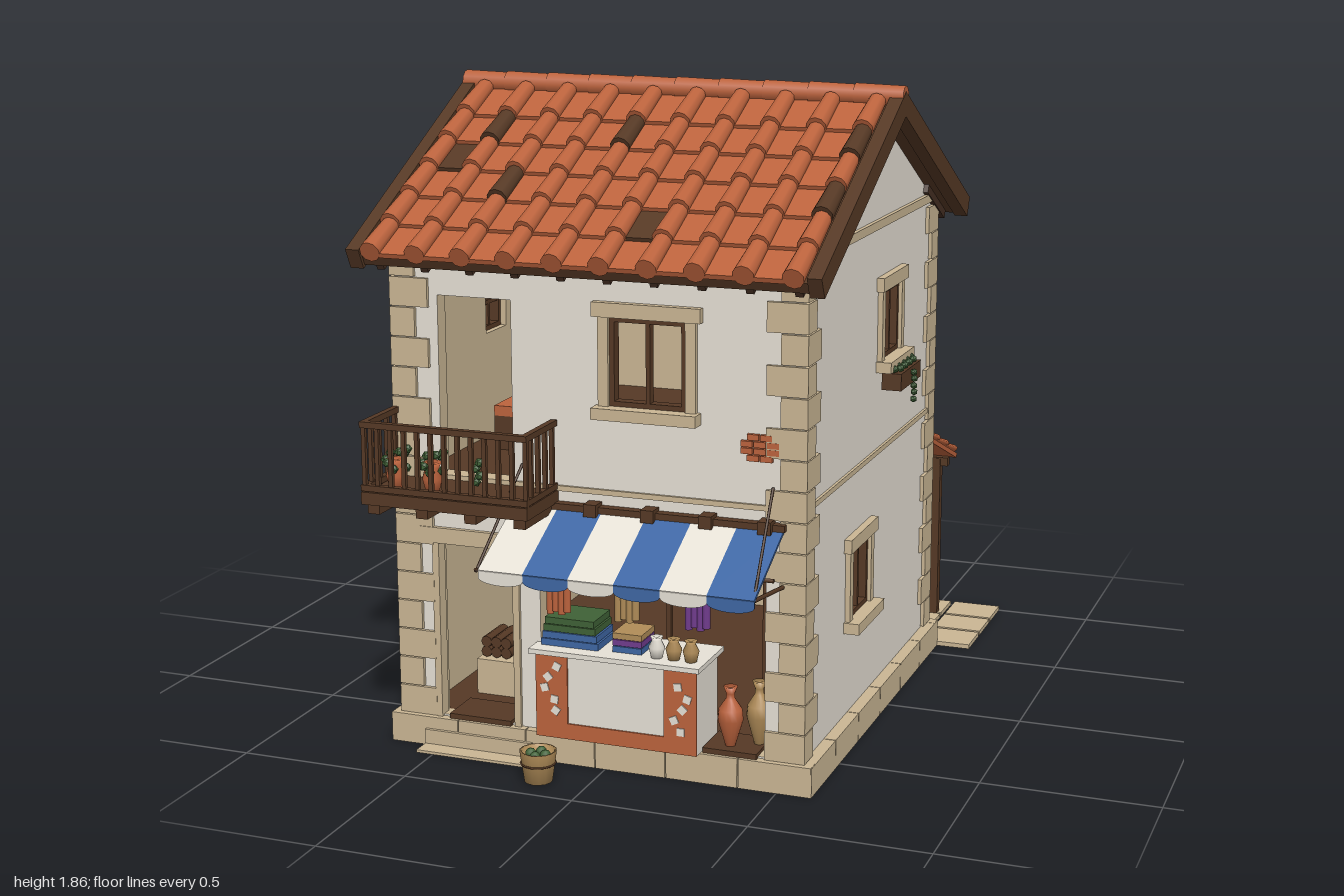
import * as THREE from 'three';

const flat = (name, color) => new THREE.MeshStandardMaterial({ name, color });
const M = {
  plaster: flat('plaster', 0xe6e0d5), stone: flat('stone', 0xcab694), tile: flat('terracotta', 0xbc633d),
  wood: flat('wood', 0x563925), dark: flat('dark wood', 0x452f22), blue: flat('blue cloth', 0x3f67a4),
  cream: flat('cream', 0xe6e1d6), green: flat('green', 0x3f6136), purple: flat('purple cloth', 0x713c8e),
  straw: flat('straw', 0xb08c58),
};
const CX = -0.03, CZ = 0.09, HW = 0.595, HD = 0.65; // house centre and half sizes
const PITCH = 0.476;

function add(parent, name, geo, mat, x = 0, y = 0, z = 0) {
  const m = new THREE.Mesh(geo, mat);
  m.name = name;
  m.position.set(x, y, z);
  parent.add(m);
  return m;
}
function group(parent, name, x = 0, y = 0, z = 0, rx = 0, ry = 0) {
  const g = new THREE.Group();
  g.name = name;
  g.position.set(x, y, z);
  g.rotation.set(rx, ry, 0);
  parent.add(g);
  return g;
}
// Box given by its limits on each axis
const span = (p, name, mat, x0, x1, y0, y1, z0, z1) =>
  add(p, name, new THREE.BoxGeometry(x1 - x0, y1 - y0, z1 - z0), mat, (x0 + x1) / 2, (y0 + y1) / 2, (z0 + z1) / 2);
// Round bar between two points
function rod(p, name, mat, a, b, r) {
  const A = new THREE.Vector3(...a), B = new THREE.Vector3(...b), d = B.clone().sub(A);
  const m = add(p, name, new THREE.CylinderGeometry(r, r, d.length(), 8), mat);
  m.position.copy(A).add(B).multiplyScalar(0.5);
  m.quaternion.setFromUnitVectors(new THREE.Vector3(0, 1, 0), d.normalize());
}
const lathe = (p, name, mat, pts, x, y, z) =>
  add(p, name, new THREE.LatheGeometry(pts.map(q => new THREE.Vector2(...q)), 14), mat, x, y, z);
const leaf = (p, x, y, z, r = 0.014) => add(p, 'leaves', new THREE.IcosahedronGeometry(r, 0), M.green, x, y, z);

// Wall panel facing local +z; openings are [u0, u1, y0, y1]
function wall(root, name, half, apex, holes, x, z, ry) {
  const g = group(root, name, x, 0, z, 0, ry);
  const s = new THREE.Shape([[-half, 0], [half, 0], [half, 1.44], ...(apex ? [[0, apex]] : []), [-half, 1.44]]
    .map(q => new THREE.Vector2(...q)));
  for (const [a, b, c, d] of holes)
    s.holes.push(new THREE.Path([[a, c], [a, d], [b, d], [b, c]].map(q => new THREE.Vector2(...q))));
  const ext = depth => new THREE.ExtrudeGeometry(s, { depth, bevelEnabled: false });
  add(g, 'plasterWall', ext(0.04), [M.plaster, M.stone], 0, 0, -0.04);
  add(g, 'innerWall', ext(0.008), M.stone, 0, 0, -0.048);
  span(g, 'floorBand', M.stone, -half, half, 0.785, 0.8, -0.01, 0.008);
  if (apex) span(g, 'eaveBand', M.stone, -half - 0.01, half + 0.01, 1.45, 1.475, -0.01, 0.012);
  return g;
}
function windowUnit(p, [a, b, c, d], grand) {
  const w = group(p, 'window'), t = 0.014;
  for (const u of [a, b - t]) span(w, 'frameSide', M.wood, u, u + t, c, d, -0.03, 0.004);
  for (const y of [c, d - t]) span(w, 'frameRail', M.wood, a, b, y, y + t, -0.03, 0.004);
  span(w, 'mullion', M.wood, (a + b) / 2 - 0.006, (a + b) / 2 + 0.006, c, d, -0.025, 0.002);
  if (grand) {
    for (const u of [a - 0.03, b]) span(w, 'jamb', M.stone, u, u + 0.03, c, d, -0.01, 0.015);
    span(w, 'lintel', M.stone, a - 0.045, b + 0.045, d, d + 0.04, -0.01, 0.022);
    span(w, 'sill', M.stone, a - 0.04, b + 0.04, c - 0.032, c, -0.01, 0.045);
  } else {
    span(w, 'crossbar', M.wood, a, b, (c + d) / 2 - 0.006, (c + d) / 2 + 0.006, -0.025, 0.002);
    span(w, 'lintel', M.wood, a - 0.035, b + 0.035, d, d + 0.032, -0.01, 0.018);
    span(w, 'sill', M.stone, a - 0.035, b + 0.035, c - 0.03, c, -0.01, 0.05);
  }
}
// Rows of pan and cap tiles running down local +z
function tiles(p, cols, rows, pitch, start, len, r, rise, odd = {}) {
  const cap = new THREE.CylinderGeometry(r, r * 0.82, len + 0.02, 10).rotateX(Math.PI / 2).scale(1, rise, 1);
  const pan = new THREE.BoxGeometry(pitch, 0.014, len + 0.02);
  for (let i = 0; i < rows; i++) for (let c = 0; c < cols; c++) {
    const x = (c - (cols - 1) / 2) * pitch, z = start + (i + 0.5) * len - 0.008;
    add(p, 'capTile', cap, odd['c' + c + i] || M.tile, x, 0.016 * rise + 0.004, z).rotation.x = -0.06;
    if (c < cols - 1) add(p, 'panTile', pan, odd['p' + c + i] || M.tile, x + pitch / 2, 0.008, z).rotation.x = -0.08;
  }
}
function basket(p, x, z, r, h, fill) {
  const g = group(p, 'basket', x, 0.005, z);
  lathe(g, 'basketBody', M.straw, [[0, 0], [r * 0.75, 0], [r, h], [r * 0.88, h], [r * 0.8, h * 0.75], [0, h * 0.75]], 0, 0, 0);
  add(g, 'basketBand', new THREE.TorusGeometry(r * 0.92, 0.003, 5, 16).rotateX(Math.PI / 2), M.wood, 0, h * 0.6, 0);
  for (let i = 0; i < 4; i++)
    add(g, 'produce', new THREE.IcosahedronGeometry(r * 0.3, 1), fill, Math.cos(i * 1.57) * r * 0.42, h * 0.86, Math.sin(i * 1.57) * r * 0.42);
}

function buildShell(root) {
  // Plinth stones around a core
  span(root, 'plinthCore', M.stone, CX - 0.62, CX + 0.62, 0.005, 0.08, CZ - 0.665, CZ + 0.665);
  span(root, 'underside', M.wood, CX - 0.6, CX + 0.6, 0, 0.005, CZ - 0.65, CZ + 0.65);
  for (let i = 0; i < 6; i++) for (const s of [-1, 1]) {
    const x = CX - 0.63 + i * 0.21, z = CZ - 0.675 + i * 0.225;
    span(root, 'plinthStone', M.stone, x + 0.001, x + 0.208, 0, 0.085, CZ + s * 0.655 - 0.02, CZ + s * 0.655 + 0.02);
    span(root, 'plinthStone', M.stone, CX + s * 0.61 - 0.02, CX + s * 0.61 + 0.02, 0, 0.084, z + 0.001, z + 0.223);
  }
  span(root, 'doorStep', M.stone, -0.55, -0.22, 0, 0.05, 0.7, 0.775);
  span(root, 'doorSlab', M.stone, -0.55, -0.22, 0, 0.008, 0.77, 0.83);
  // Corner quoins, long and short by turns
  for (const sx of [-1, 1]) for (const sz of [-1, 1]) for (let i = 0; i < 16; i++) {
    const w = i % 2 ? 0.075 : 0.115, d = i % 2 ? 0.115 : 0.075, y = 0.085 + i * 0.0845;
    add(root, 'quoin', new THREE.BoxGeometry(w, 0.081, d), M.stone,
      CX + sx * (HW + 0.011 - w / 2), y + 0.042, CZ + sz * (HD + 0.011 - d / 2));
  }
  for (const y of [0.075, 0.775, 1.41])
    span(root, 'floorBoards', M.wood, CX - 0.55, CX + 0.55, y, y + 0.015, CZ - 0.605, CZ + 0.605);

  const F = [[-0.48, -0.25, 0.09, 0.6], [-0.17, 0.49, 0.09, 0.6], [-0.465, -0.245, 0.8, 1.305], [0.045, 0.265, 1.035, 1.28]];
  const R = [[0.06, 0.235, 1.06, 1.265], [-0.23, -0.05, 0.365, 0.57]];
  const L = [[0.03, 0.17, 1.1, 1.265], [-0.09, 0.05, 0.39, 0.54]];
  const B = [[0.08, 0.22, 1.1, 1.265], [-0.215, -0.075, 0.39, 0.54]];
  const front = wall(root, 'frontWall', HW, 0, F, CX, CZ + HD, 0);
  windowUnit(front, F[3], true);
  span(front, 'doorLintel', M.stone, -0.53, -0.23, 0.6, 0.645, -0.01, 0.014);
  for (const u of [-0.495, -0.25]) span(front, 'doorJamb', M.stone, u, u + 0.02, 0.085, 0.6, -0.03, 0.01);
  const right = wall(root, 'rightWall', HD, 1.775, R, CX + HW, CZ, Math.PI / 2);
  R.forEach(h => windowUnit(right, h, true));
  const left = wall(root, 'leftWall', HD, 1.775, L, CX - HW, CZ, -Math.PI / 2);
  L.forEach(h => windowUnit(left, h, false));
  const back = wall(root, 'backWall', HW, 0, B, CX, CZ - HD, Math.PI);
  B.forEach(h => windowUnit(back, h, false));

  // Flower box
  span(right, 'flowerBox', M.wood, 0.04, 0.255, 0.975, 1.025, 0.012, 0.07);
  for (let i = 0; i < 9; i++) leaf(right, 0.055 + i * 0.023, 1.035, 0.045 + 0.012 * (i % 2), 0.012);
  for (let i = 0; i < 5; i++) leaf(right, 0.15 + 0.006 * (i % 2), 1.01 - i * 0.02, 0.078, 0.011);
  // Bare brick where the plaster has gone
  for (const [w, u, y, n] of [[front, 0.475, 0.955, 4], [left, -0.25, 0.28, 5]])
    for (let r = 0; r < n; r++) for (let c = 0; c < (r % 3 ? n - 1 : 2); c++) {
      const x = u - 0.055 + c * 0.037 + (r % 3 ? 0 : 0.018);
      span(w, 'brick', M.tile, x, x + 0.033, y - 0.036 + r * 0.019, y - 0.02 + r * 0.019, -0.01, 0.012);
    }
}

function buildRoof(root) {
  const D = M.wood, S = M.straw;
  const oddTiles = [{ p02: D, c11: D, c41: D, c91: D, c23: D, p54: D, c93: D },
    { p74: D, p72: D, c63: D, p60: D, p12: D, c20: D, c01: D, c00: D, p33: S, p21: S }];
  for (const s of [0, 1]) {
    const g = group(root, s ? 'backRoof' : 'frontRoof', CX, 1.81, CZ, s ? -PITCH : PITCH, s * Math.PI);
    span(g, 'roofDeck', M.wood, -0.64, 0.64, -0.03, 0.002, 0, 0.85);
    for (const x of [-0.675, 0.635]) span(g, 'rakeBoard', M.wood, x, x + 0.04, -0.036, 0.026, -0.012, 0.86);
    for (let i = 0; i < 10; i++) span(g, 'rafterEnd', M.dark, -0.61 + i * 0.133, -0.588 + i * 0.133, -0.055, -0.03, 0.6, 0.835);
    tiles(g, 10, 6, 0.1332, 0.04, 0.137, 0.03, 1, oddTiles[s]);
  }
  for (let i = 0; i < 10; i++)
    add(root, 'ridgeTile', new THREE.CylinderGeometry(0.034, 0.03, 0.145, 12).rotateZ(Math.PI / 2), M.tile, CX - 0.6 + i * 0.1335, 1.825, CZ);
}

function buildBalcony(root) {
  const g = group(root, 'balcony');
  span(g, 'balconyFloor', M.wood, -0.635, -0.14, 0.752, 0.787, 0.74, 0.95);
  for (let i = 0; i < 4; i++) span(g, 'joist', M.wood, -0.62 + i * 0.145, -0.585 + i * 0.145, 0.725, 0.752, 0.74, 0.94);
  for (const y of [0.79, 0.967]) {
    span(g, 'frontRail', M.wood, -0.635, -0.14, y, y + 0.017, 0.93, 0.95);
    for (const x of [-0.635, -0.158]) span(g, 'sideRail', M.wood, x, x + 0.018, y, y + 0.017, 0.745, 0.94);
  }
  for (let i = 0; i < 13; i++) span(g, 'baluster', M.wood, -0.632 + i * 0.04, -0.62 + i * 0.04, 0.787, 0.97, 0.934, 0.946);
  for (const x of [-0.632, -0.155]) for (let i = 0; i < 4; i++)
    span(g, 'sideBaluster', M.wood, x, x + 0.012, 0.787, 0.97, 0.755 + i * 0.047, 0.767 + i * 0.047);
  for (const x of [-0.56, -0.45]) {
    lathe(g, 'plantPot', M.tile, [[0, 0], [0.018, 0], [0.028, 0.04], [0.02, 0.07], [0.026, 0.085], [0, 0.08]], x, 0.787, 0.885);
    for (let i = 0; i < 8; i++) leaf(g, x + 0.032 * Math.cos(i * 1.9), 0.85 + 0.016 * (i % 4), 0.885 + 0.032 * Math.sin(i * 1.9));
  }
  // Small vine on the rail
  for (let i = 0; i < 4; i++) leaf(g, -0.3 + 0.012 * (i % 2), 0.84 + i * 0.018, 0.925);
  // Bed inside the upper room
  span(root, 'bedBase', M.wood, -0.49, -0.28, 0.79, 0.89, 0.1, 0.4);
  span(root, 'blanket', M.tile, -0.49, -0.28, 0.89, 0.92, 0.1, 0.4);
}

function buildShop(root) {
  const g = group(root, 'awning');
  const slope = group(g, 'awningCloth', 0, 0.74, 0.75, 0.464);
  for (let i = 0; i < 6; i++) {
    const x = -0.265 + i * 0.13, m = i % 2 ? M.blue : M.cream;
    span(slope, 'stripe', m, x, x + 0.13, -0.004, 0.004, 0, 0.278);
    span(g, 'valance', m, x, x + 0.13, 0.598, 0.617, 0.992, 0.998);
    add(g, 'scallop', new THREE.CylinderGeometry(0.065, 0.065, 0.006, 16, 1, false, -Math.PI / 2, Math.PI)
      .rotateX(Math.PI / 2).scale(1, 0.28, 1), m, x + 0.065, 0.598, 0.995);
  }
  span(g, 'awningBeam', M.wood, -0.29, 0.52, 0.737, 0.755, 0.74, 0.768);
  for (let i = 0; i < 5; i++) span(g, 'beamBracket', M.wood, -0.215 + i * 0.166, -0.178 + i * 0.166, 0.73, 0.765, 0.74, 0.785);
  for (const x of [-0.275, 0.51]) {
    rod(g, 'stayRope', M.dark, [x - 0.03 * Math.sign(x), 0.85, 0.745], [x, 0.61, 0.99], 0.004);
    rod(g, 'awningArm', M.wood, [x, 0.58, 0.745], [x, 0.615, 0.99], 0.006);
  }
  // Counter and goods
  const c = group(root, 'counter');
  span(c, 'counterBody', M.cream, -0.195, 0.28, 0.085, 0.328, 0.62, 0.785);
  for (const [a, b] of [[-0.195, -0.1], [0.185, 0.28]]) span(c, 'paintedPanel', M.tile, a, b, 0.1, 0.328, 0.783, 0.79);
  span(c, 'paintedBase', M.tile, -0.195, 0.28, 0.085, 0.13, 0.783, 0.79);
  span(c, 'counterTop', M.cream, -0.21, 0.292, 0.328, 0.342, 0.6, 0.805);
  for (let i = 0; i < 10; i++)
    add(c, 'inlay', new THREE.BoxGeometry(0.022, 0.022, 0.006), M.cream, (i % 2 ? -0.15 : 0.235) + 0.02 * Math.sin(i * 2.3), 0.15 + i * 0.016, 0.79).rotation.z = i;
  [M.blue, M.blue, M.green, M.green].forEach((m, i) =>
    span(c, 'foldedCloth', m, -0.19 + 0.004 * i, -0.02 - 0.004 * i, 0.342 + i * 0.021, 0.361 + i * 0.021, 0.64, 0.76));
  [M.blue, M.purple, M.straw].forEach((m, i) =>
    span(c, 'foldedCloth', m, 0.02, 0.105, 0.342 + i * 0.019, 0.359 + i * 0.019, 0.65, 0.75));
  for (const [x, m] of [[0.15, M.cream], [0.2, M.straw], [0.25, M.straw]])
    lathe(c, 'jar', m, [[0, 0], [0.016, 0], [0.023, 0.03], [0.013, 0.05], [0.018, 0.06], [0, 0.055]], x, 0.342, 0.75);
  rod(root, 'hangingPole', M.wood, [-0.23, 0.6, 0.765], [0.49, 0.6, 0.765], 0.006);
  for (const [x, m] of [[-0.132, M.tile], [0.07, M.straw], [0.275, M.purple]]) for (let i = 0; i < 4; i++)
    rod(root, 'hangingCloth', m, [x - 0.025 + i * 0.017, 0.44 + 0.008 * (i % 2), 0.768], [x - 0.025 + i * 0.017, 0.6, 0.768], 0.011);
  [M.blue, M.green, M.cream].forEach((m, i) =>
    add(root, 'hangingRing', new THREE.TorusGeometry(0.022, 0.006, 6, 16), m, -0.025 + i * 0.2, 0.568, 0.765));
  // Shelf and floor goods inside
  span(root, 'shelf', M.wood, -0.05, 0.27, 0.5, 0.515, 0.14, 0.2);
  span(root, 'lowShelf', M.wood, -0.05, 0.27, 0.425, 0.438, 0.14, 0.25);
  for (const x of [-0.05, 0.255]) span(root, 'shelfPost', M.wood, x, x + 0.015, 0.09, 0.53, 0.14, 0.155);
  for (let i = 0; i < 5; i++) span(root, 'shelfBale', [M.blue, M.green, M.tile][i % 3], -0.03 + i * 0.06, 0.015 + i * 0.06, 0.515, 0.545, 0.145, 0.195);
  lathe(root, 'shelfJug', M.straw, [[0, 0], [0.015, 0], [0.022, 0.025], [0.012, 0.045], [0.016, 0.055], [0, 0.05]], 0.23, 0.438, 0.195);
  span(root, 'jarStand', M.wood, 0.285, 0.44, 0.085, 0.1, 0.62, 0.755);
  for (const [x, z, m, s] of [[0.35, 0.71, M.tile, 1], [0.42, 0.67, M.straw, 1.06]])
    lathe(root, 'amphora', m, [[0, 0], [0.014, 0], [0.036, 0.075], [0.033, 0.105], [0.013, 0.135], [0.012, 0.15], [0.02, 0.17], [0, 0.165]]
      .map(q => [q[0], q[1] * s]), x, 0.1, z);
  span(root, 'doorBoard', M.wood, -0.48, -0.29, 0.085, 0.1, 0.62, 0.755);
  span(root, 'hearth', M.stone, -0.49, -0.34, 0.09, 0.195, 0.4, 0.55);
  for (let i = 0; i < 6; i++)
    add(root, 'log', new THREE.CylinderGeometry(0.017, 0.017, 0.12, 8).rotateX(Math.PI / 2), M.wood,
      -0.468 + (i % 3) * 0.031, i > 2 ? 0.243 : 0.213, 0.47);
  basket(root, -0.137, 0.91, 0.052, 0.088, M.green);
}

function buildPorch(root) {
  const g = group(root, 'porch');
  for (let c = 0; c < 8; c++) for (let r = 0; r < 3; r++)
    span(g, 'pavingSlab', M.stone, -0.61 + c * 0.1662, -0.458 + c * 0.1662, 0, 0.014, -1 + r * 0.145, -0.867 + r * 0.145);
  const roof = group(g, 'porchRoof', CX, 0.688, -0.562, -0.373, Math.PI);
  span(roof, 'porchDeck', M.tile, -0.6, 0.6, -0.012, 0.003, 0, 0.37);
  tiles(roof, 9, 3, 0.145, 0, 0.123, 0.02, 0.65);
  for (const x of [-0.57, 0.51]) span(g, 'porchPost', M.wood, x - 0.016, x + 0.016, 0.01, 0.545, -0.892, -0.86);
  span(g, 'porchBeam', M.wood, -0.61, 0.55, 0.52, 0.548, -0.89, -0.862);
  // Gate
  for (const x of [-0.17, 0.105]) span(g, 'gatePost', M.wood, x - 0.013, x + 0.013, 0.01, 0.41, -0.735, -0.71);
  for (const y of [0.05, 0.37]) span(g, 'gateRail', M.wood, -0.17, 0.105, y, y + 0.022, -0.73, -0.715);
  for (let i = 0; i < 9; i++) span(g, 'gateBar', M.blue, -0.145 + i * 0.027, -0.135 + i * 0.027, 0.04, 0.385, -0.728, -0.718);
  basket(g, 0.47, -0.69, 0.05, 0.085, M.straw);
  basket(g, 0.35, -0.69, 0.05, 0.085, M.straw);
}

export function createModel() {
  const root = new THREE.Group();
  root.name = 'marketHouse';
  [buildShell, buildRoof, buildBalcony, buildShop, buildPorch].forEach(f => f(root));
  return root;
}
